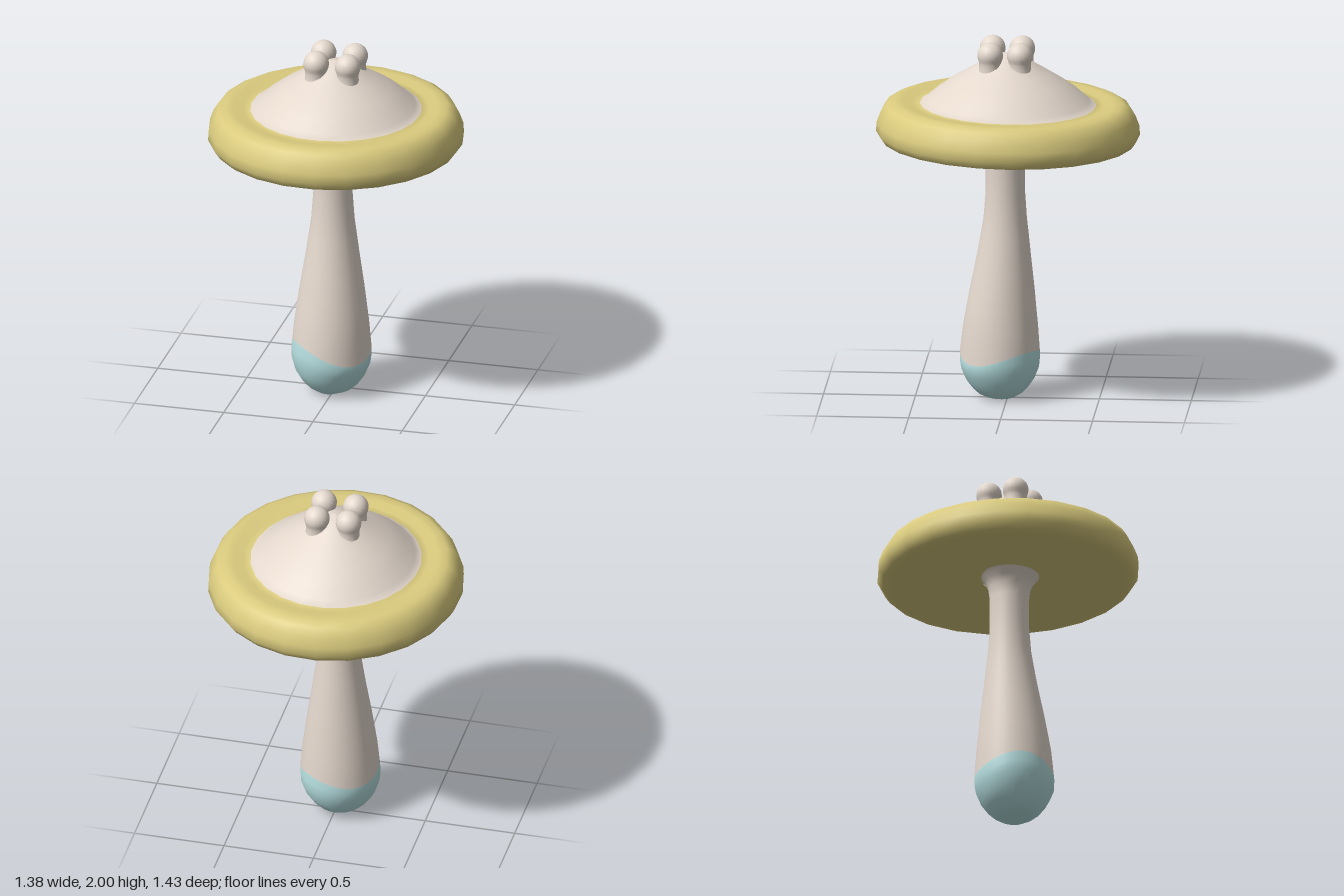
import * as THREE from 'three';

const mat = (name, color) => {
  const m = new THREE.MeshStandardMaterial({ color });
  m.name = name;
  return m;
};

// Closed surface of rings, listed from the underside outwards and up.
// point(row, angle) gives [x, y, z]; the first splitRow rows use material 0, the rest material 1.
function loft(rows, cols, splitRow, start, point) {
  const pos = [], index = [];
  for (let i = 0; i < rows; i++)
    for (let j = 0; j < cols; j++) pos.push(...point(i, start + (j / cols) * Math.PI * 2));
  for (let i = 0; i < rows - 1; i++)
    for (let j = 0; j < cols; j++) {
      const k = (j + 1) % cols;
      const a = i * cols + j, b = i * cols + k, c = a + cols, d = b + cols;
      index.push(a, c, b, b, c, d);
    }
  const g = new THREE.BufferGeometry();
  g.setAttribute('position', new THREE.Float32BufferAttribute(pos, 3));
  g.setIndex(index);
  const split = splitRow * cols * 6;
  g.addGroup(0, split, 0);
  g.addGroup(split, index.length - split, 1);
  g.computeVertexNormals();
  return g;
}

// Stem radius by height: [y, radius]
const STEM = [
  [0, 0], [0.005, 0.085], [0.03, 0.125], [0.06, 0.155], [0.11, 0.19], [0.18, 0.216], [0.25, 0.218],
  [0.4, 0.204], [0.6, 0.177], [0.8, 0.146], [1.0, 0.118], [1.15, 0.107], [1.32, 0.107],
  [1.38, 0.115], [1.42, 0.133], [1.455, 0.162],
];
function stemRadius(y) {
  for (let i = 1; i < STEM.length; i++) {
    const [y0, r0] = STEM[i - 1], [y1, r1] = STEM[i];
    if (y <= y1) return r0 + ((r1 - r0) * (y - y0)) / (y1 - y0);
  }
  return STEM[STEM.length - 1][1];
}

// Wavy upper edge of the painted tip
const tipEdge = (a) => 0.262 - 0.022 * Math.cos(a) - 0.036 * Math.sin(2 * a);

// Cap profile [radius, y]: hollow underside, rim, groove, then the dome
const CAP = [
  [0.135, 1.442], [0.17, 1.456], [0.24, 1.466], [0.38, 1.468], [0.5, 1.452], [0.57, 1.433],
  [0.625, 1.427], [0.668, 1.438], [0.695, 1.478], [0.692, 1.53], [0.672, 1.585], [0.645, 1.628],
  [0.605, 1.649], [0.555, 1.649], [0.505, 1.639], [0.465, 1.64],
];
const DOME = [
  [0.43, 1.664], [0.37, 1.718], [0.3, 1.77], [0.22, 1.82], [0.16, 1.856], [0.12, 1.882],
  [0.08, 1.905], [0.04, 1.92], [0, 1.925],
];

export function createModel() {
  const group = new THREE.Group();
  const cream = mat('cream', 0xe4d8cd);
  const yellow = mat('mustard yellow', 0xdacb7e);
  const teal = mat('pale teal', 0xb8e2e3);

  // Stem with painted rounded tip, leaning slightly
  const tipRows = [0, 0.02, 0.11, 0.23, 0.41, 0.65, 0.83, 1];
  const upper = [0.4, 0.5, 0.6, 0.7, 0.8, 0.9, 1.0, 1.15, 1.32, 1.38, 1.42, 1.455];
  const stemGeo = loft(tipRows.length + upper.length, 32, tipRows.length - 1, 0, (i, a) => {
    const y = i < tipRows.length ? tipRows[i] * tipEdge(a) : upper[i - tipRows.length];
    const r = stemRadius(y);
    const lean = 0.042 - 0.03 * THREE.MathUtils.smoothstep(y, 0.2, 1.1);
    return [-0.015 + r * Math.cos(a), y, lean + r * Math.sin(a)];
  });
  const stem = new THREE.Mesh(stemGeo, [teal, cream]);
  stem.name = 'stem';
  group.add(stem);

  // Cap: rounded rim and dome, slightly oval and tilted up at the front
  const profile = [...CAP, ...DOME];
  const capGeo = loft(profile.length, 24, CAP.length - 1, -0.087, (i, a) => {
    const [r, y] = profile[i];
    const z = r * 1.03 * Math.sin(a);
    return [r * Math.cos(a) - 0.002, y + 0.018 * z, z - 0.003];
  });
  const cap = new THREE.Mesh(capGeo, [yellow, cream]);
  cap.name = 'cap';
  group.add(cap);

  // Four round knobs on short necks
  const knobProfile = [[0.064, -0.1], [0.06, -0.07], [0.06, -0.045]];
  for (let i = 0; i <= 10; i++) {
    const t = -0.45 + (i / 10) * (Math.PI / 2 + 0.45);
    knobProfile.push([Math.max(0, 0.07 * Math.cos(t)), 0.07 * Math.sin(t)]);
  }
  const knobGeo = new THREE.LatheGeometry(knobProfile.map(([x, y]) => new THREE.Vector2(x, y)), 20);
  for (const x of [-0.09, 0.087])
    for (const z of [-0.074, 0.087]) {
      const knob = new THREE.Mesh(knobGeo, cream);
      knob.name = 'knob';
      knob.position.set(x, 1.93, z);
      group.add(knob);
    }

  return group;
}
